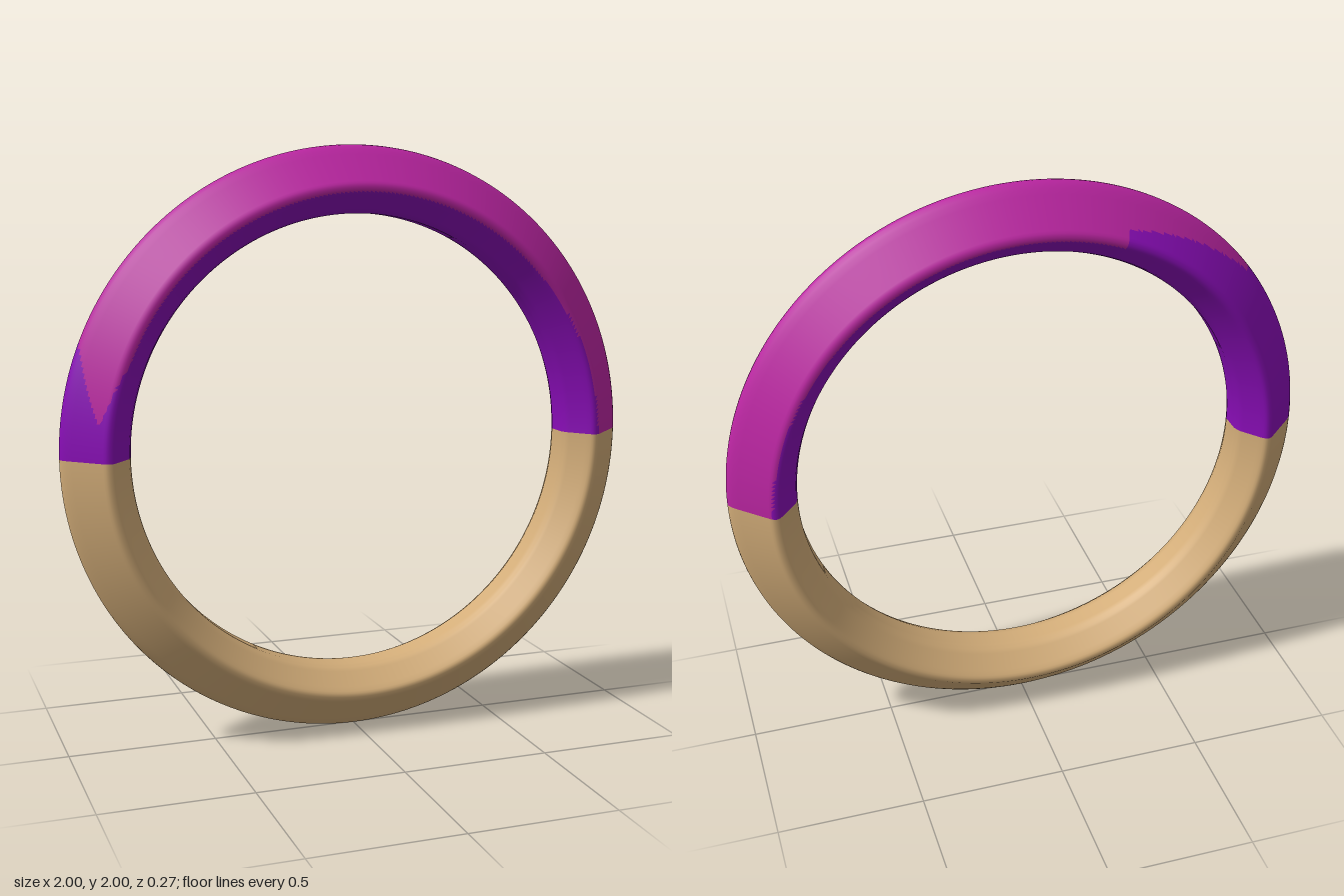
import * as THREE from 'three';

const magenta = new THREE.MeshStandardMaterial({ color: 0xbb25a2 });
magenta.name = 'magenta';
const purple = new THREE.MeshStandardMaterial({ color: 0x8a0db8 });
purple.name = 'purple';
const tan = new THREE.MeshStandardMaterial({ color: 0xd3ad79 });
tan.name = 'tan';

// Half of the ring's cross-section as [radius, depth], from the bore to the outer ridge
const HALF = [
  [0.775, 0], [0.775, 0.035], [0.785, 0.06], [0.838, 0.122], [0.85, 0.133],
  [0.862, 0.137], [0.875, 0.131], [0.975, 0.038], [0.99, 0.022], [0.998, 0.01], [1, 0],
];

// Closed section, subdivided so that the flats shade flat and colour edges are fine
function sectionPoints() {
  const corners = [
    ...HALF.map(([r, z]) => new THREE.Vector2(r, -z)),
    ...HALF.slice(0, -1).reverse().map(([r, z]) => new THREE.Vector2(r, z)),
  ];
  const points = [corners[0]];
  for (let i = 1; i < corners.length; i++) {
    const a = corners[i - 1], b = corners[i];
    const n = Math.max(1, Math.round(a.distanceTo(b) / 0.01));
    for (let k = 1; k <= n; k++) points.push(a.clone().lerp(b, k / n));
  }
  return points;
}

// Half ring standing in the xy plane
function halfRing(start) {
  return new THREE.LatheGeometry(sectionPoints(), 180, start, Math.PI).rotateX(Math.PI / 2);
}

// Purple covers the bore, its rim, and a patch that wraps the right-hand side
function isPurple(angle, r, z) {
  if (r < 0.846) return true;
  if (angle < 45 && r < 0.845 + 0.027 * (1 - angle / 45)) return true;
  if (z < 0) return angle > 111 + 31 * THREE.MathUtils.clamp((r - 0.9) / 0.085, 0, 1);
  const edge = r > 0.9 ? 172 - 140 * (r - 0.9) : 172 - 300 * Math.max(0, 0.895 - r);
  return angle > edge;
}

// Sort the faces into two material groups by the colour rule
function paint(geometry) {
  const pos = geometry.attributes.position;
  const index = geometry.index.array;
  const sets = [[], []];
  for (let i = 0; i < index.length; i += 3) {
    const face = [index[i], index[i + 1], index[i + 2]];
    const c = new THREE.Vector3();
    for (const v of face) c.add(new THREE.Vector3().fromBufferAttribute(pos, v));
    c.divideScalar(3);
    const angle = THREE.MathUtils.radToDeg(Math.atan2(c.y, c.x));
    sets[isPurple(angle, Math.hypot(c.x, c.y), c.z) ? 1 : 0].push(...face);
  }
  geometry.setIndex([...sets[0], ...sets[1]]);
  geometry.addGroup(0, sets[0].length, 0);
  geometry.addGroup(sets[0].length, sets[1].length, 1);
  return geometry;
}

export function createModel() {
  const ring = new THREE.Group();
  ring.name = 'ring';

  const upper = new THREE.Mesh(paint(halfRing(Math.PI / 2)), [magenta, purple]);
  upper.name = 'upperHalf';
  const lower = new THREE.Mesh(halfRing(-Math.PI / 2), tan);
  lower.name = 'lowerHalf';

  for (const half of [upper, lower]) {
    half.position.y = 1;
    ring.add(half);
  }
  return ring;
}
